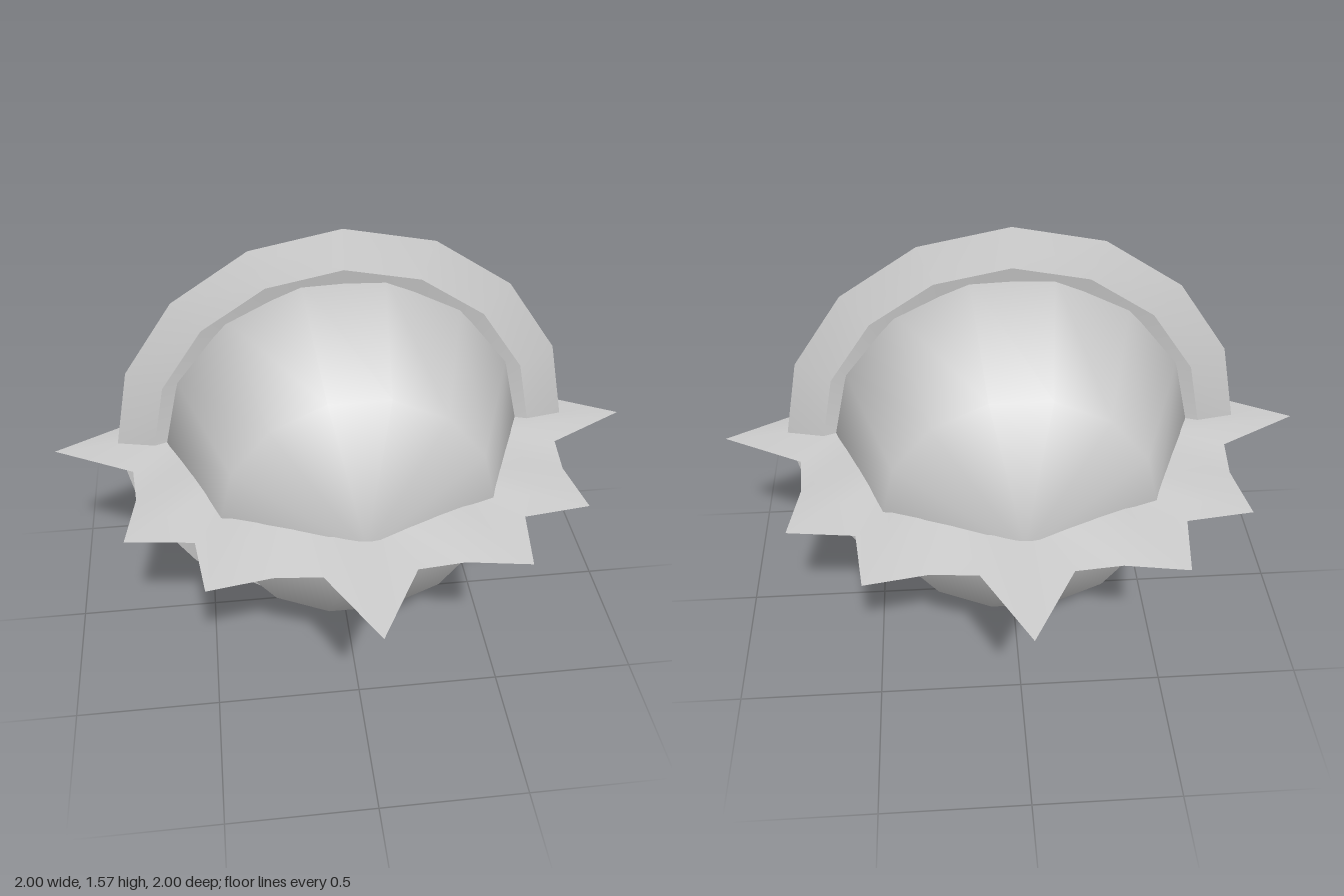
import * as THREE from 'three';

// Closed blade ring in the xz plane with a diamond section: sharp outer edge,
// thickest at radius mid, hidden inner edge. One outer radius per step.
function bladeRing(outerRadii, inner, mid, half) {
  const n = outerRadii.length;
  const positions = [];
  const indices = [];
  const addBand = (from, to, flip) => {
    const base = positions.length / 3;
    for (let i = 0; i < n; i++) {
      const a = (i / n) * Math.PI * 2;
      for (const [radius, y] of [from(i), to(i)]) {
        positions.push(radius * Math.cos(a), y, -radius * Math.sin(a));
      }
    }
    for (let i = 0; i < n; i++) {
      const a = base + i * 2, b = a + 1;
      const d = base + ((i + 1) % n) * 2, c = d + 1;
      if (flip) indices.push(a, c, b, a, d, c);
      else indices.push(a, b, c, a, c, d);
    }
  };
  for (const side of [1, -1]) {
    const crest = () => [mid, side * half];
    addBand(crest, (i) => [outerRadii[i], 0], side < 0);
    addBand(() => [inner, 0], crest, side < 0);
  }
  const geometry = new THREE.BufferGeometry();
  geometry.setAttribute('position', new THREE.Float32BufferAttribute(positions, 3));
  geometry.setIndex(indices);
  geometry.computeVertexNormals();
  return geometry;
}

export function createModel() {
  const model = new THREE.Group();
  model.name = 'spikedBall';
  const grey = new THREE.MeshStandardMaterial({ color: 0xcccccc });
  grey.name = 'grey';

  const add = (name, geometry) => {
    const mesh = new THREE.Mesh(geometry, grey);
    mesh.name = name;
    mesh.position.y = 0.787;
    model.add(mesh);
  };

  // Coarse smooth ball with its poles at front and back
  add('ball', new THREE.SphereGeometry(0.63, 14, 4).rotateX(Math.PI / 2));

  // Upright round blade
  add('uprightRing', bladeRing(Array(16).fill(0.787), 0.5, 0.66, 0.035).rotateX(Math.PI / 2));

  // Level star blade: one quarter of radii repeated four times
  const quarter = [1, 0.743, 0.774, 0.9, 0.746, 0.9, 0.774, 0.743];
  const radii = [0, 1, 2, 3].flatMap(() => quarter);
  add('starRing', bladeRing(radii, 0.45, 0.55, 0.035));

  return model;
}
